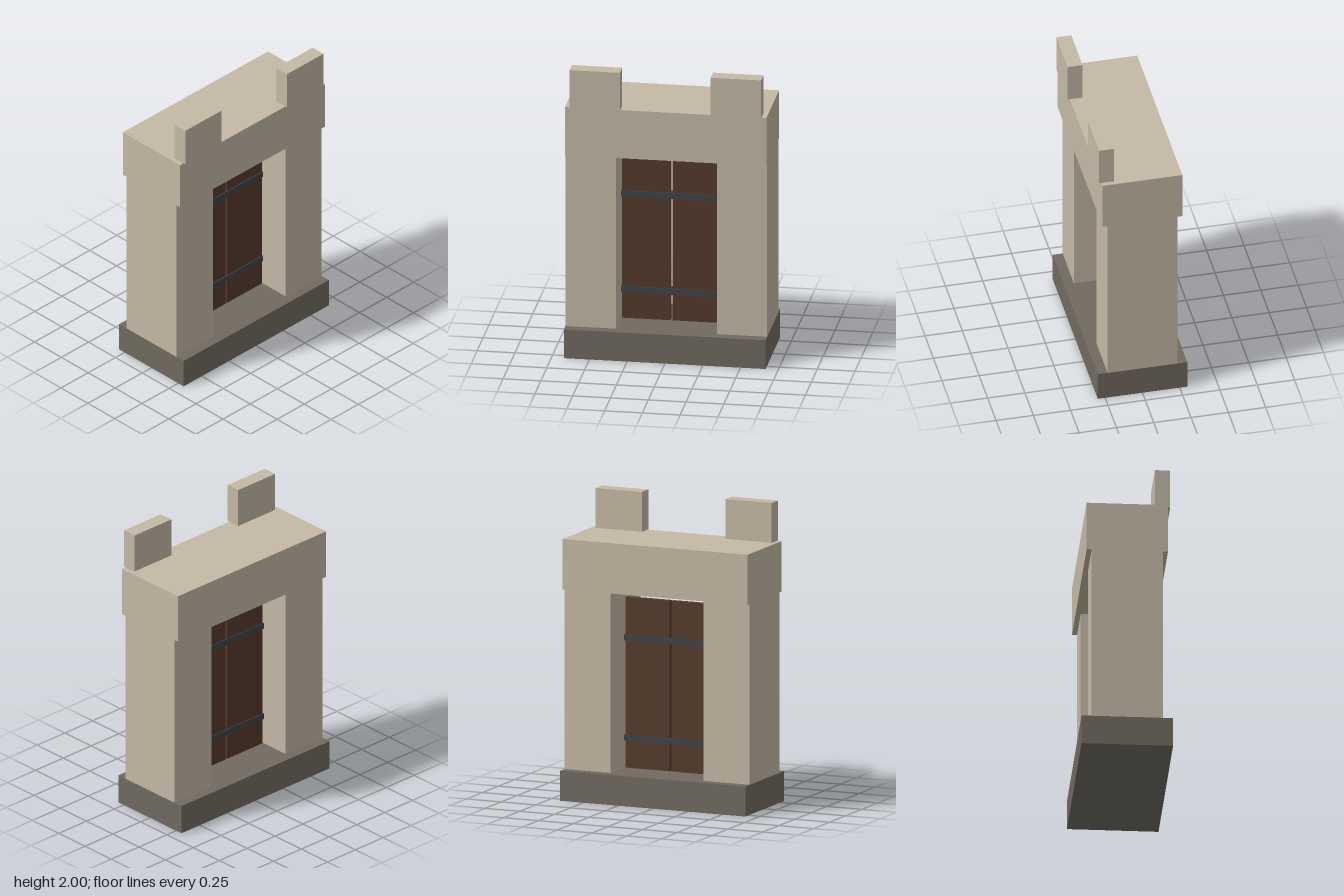
import * as THREE from 'three';

const material = (color) => new THREE.MeshStandardMaterial({ color });

export function createModel() {
  const group = new THREE.Group();
  const stone = material(0xc4b9a5);
  const darkStone = material(0x706a5f);
  const wood = material(0x553a2b);
  const iron = material(0x3e4448);

  // Box standing on height y, centred on x and z
  function block(name, mat, [w, h, d], [x, y, z]) {
    const mesh = new THREE.Mesh(new THREE.BoxGeometry(w, h, d), mat);
    mesh.name = name;
    mesh.position.set(x, y + h / 2, z);
    group.add(mesh);
  }

  // Plinth and lintel
  block('plinth', darkStone, [1.333, 0.2, 0.6], [0, 0, 0]);
  block('lintel', stone, [1.333, 0.335, 0.533], [0, 1.4, 0]);

  // Mirrored pillars, battlements along the front edge, and door leaves
  for (const [side, s] of [['left', 1], ['right', -1]]) {
    block(side + 'Pillar', stone, [0.333, 1.2, 0.467], [s * 0.5, 0.2, 0]);
    block(side + 'Battlement', stone, [0.333, 0.265, 0.1], [s * 0.467, 1.735, 0.233]);
    block(side + 'DoorLeaf', wood, [0.32, 1.133, 0.04], [s * 0.167, 0.2, 0]);
  }

  // Iron straps wrapping both faces of the door
  block('lowerStrap', iron, [0.667, 0.04, 0.054], [0, 0.38, 0]);
  block('upperStrap', iron, [0.667, 0.04, 0.054], [0, 1.047, 0]);

  return group;
}
